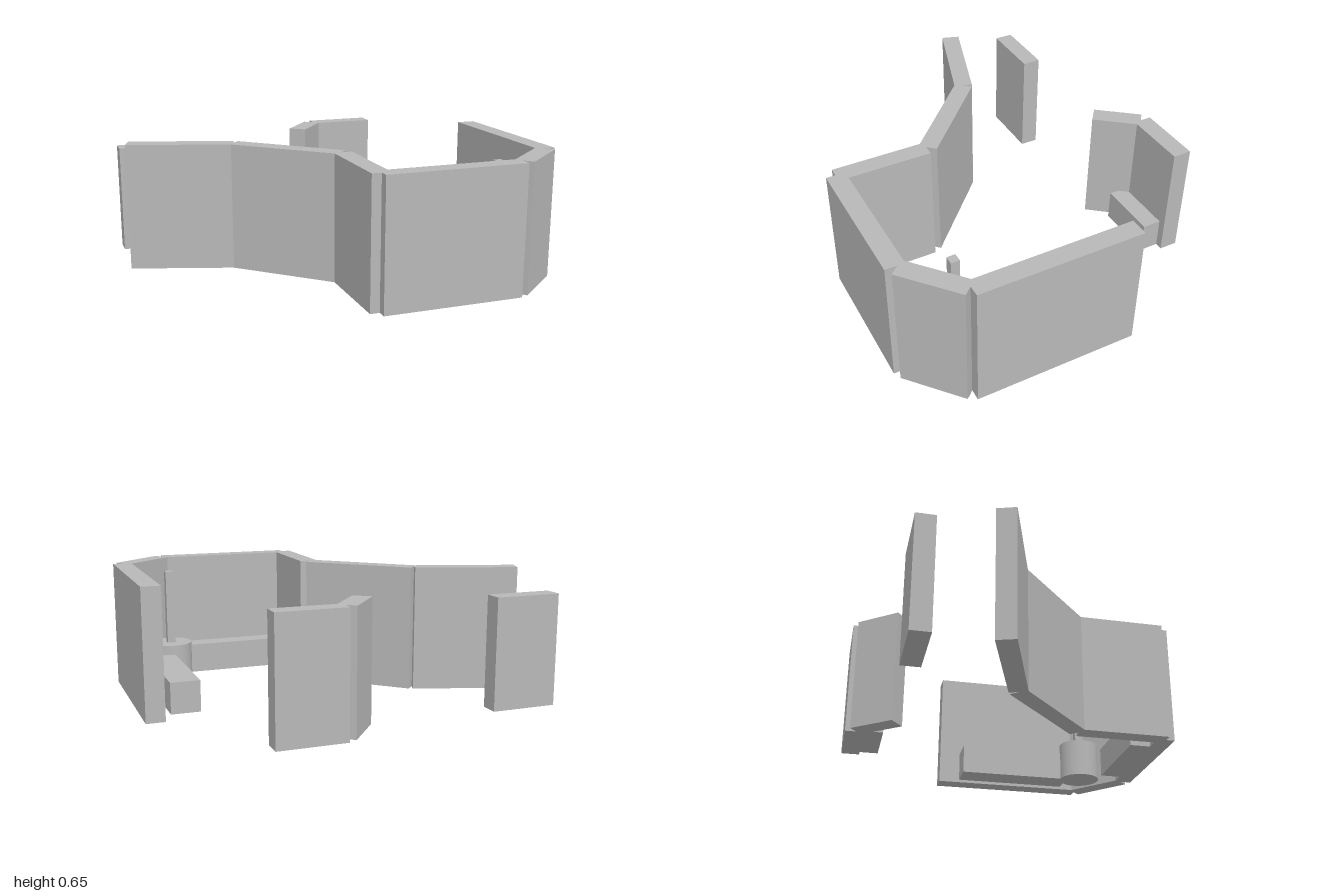
import * as THREE from 'three';

export function createModel() {
  const model = new THREE.Group();
  const grey = new THREE.MeshStandardMaterial({ color: 0xb8b8b8 });
  grey.name = 'plain grey';

  function add(name, geometry, x, y, z, turn = 0) {
    const mesh = new THREE.Mesh(geometry, grey);
    mesh.name = name;
    mesh.position.set(x, y, z);
    mesh.rotation.y = turn;
    model.add(mesh);
  }

  // Upright slab on the ground, following a centre line in plan
  function slab(name, [x1, z1], [x2, z2], thickness, height) {
    const length = Math.hypot(x2 - x1, z2 - z1);
    add(name, new THREE.BoxGeometry(length, height, thickness),
      (x1 + x2) / 2, height / 2, (z1 + z2) / 2, -Math.atan2(z2 - z1, x2 - x1));
  }

  // Main chain of wall panels
  const wallHeight = 0.655;
  slab('outerWingWall', [-0.985, -0.265], [-0.472, -0.095], 0.095, wallHeight);
  slab('innerWingWall', [-0.47, -0.095], [-0.035, 0.318], 0.095, wallHeight);
  slab('rightWall', [-0.032, 0.325], [-0.032, 0.803], 0.096, wallHeight);
  slab('frontWall', [-0.032, 0.802], [0.685, 0.802], 0.096, wallHeight);
  slab('cornerWall', [0.692, 0.797], [0.945, 0.577], 0.096, wallHeight);
  slab('leftWall', [0.951, -0.262], [0.951, 0.573], 0.096, wallHeight);

  // Separate panels at the back
  slab('backWall', [0.203, -0.807], [0.548, -0.807], 0.096, 0.61);
  slab('angledBackWall', [0.198, -0.802], [0.042, -0.606], 0.096, 0.61);
  slab('freestandingWall', [-0.983, -0.621], [-0.64, -0.621], 0.096, 0.57);

  // Low benches against the walls
  const benchHeight = 0.16;
  slab('frontBench', [0.08, 0.699], [0.597, 0.699], 0.112, benchHeight);
  slab('leftBench', [0.781, -0.152], [0.781, 0.463], 0.15, benchHeight);
  slab('backBench', [0.188, -0.711], [0.508, -0.711], 0.1, benchHeight);

  // Round pedestal with a square post
  add('pedestal', new THREE.CylinderGeometry(0.112, 0.112, 0.21, 32), 0.706, 0.105, 0.54);
  add('post', new THREE.BoxGeometry(0.044, 0.395, 0.044), 0.706, 0.4075, 0.54);

  return model;
}
